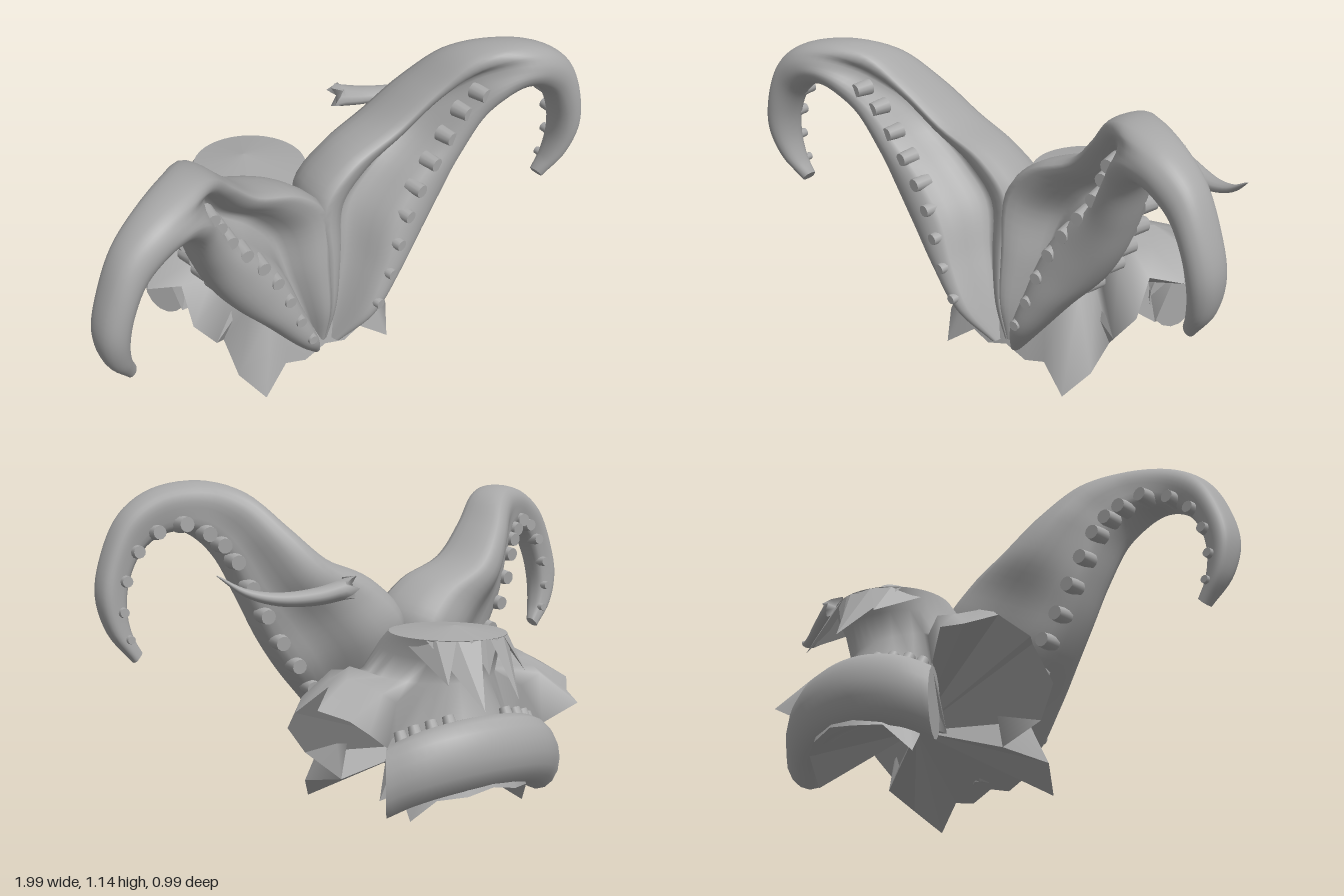
import * as THREE from 'three';

const V = (x, y, z) => new THREE.Vector3(x, y, z);
const skin = new THREE.MeshStandardMaterial({ color: 0xa8a8a8, side: THREE.DoubleSide });
skin.name = 'grey skin';

function part(name, geometry, parent) {
  const mesh = new THREE.Mesh(geometry, skin);
  mesh.name = name;
  parent.add(mesh);
  return mesh;
}

// Skin over a list of closed rings, optionally closing both ends
function loft(rings, capped) {
  const n = rings[0].length, pos = [], idx = [];
  rings.forEach(r => r.forEach(p => pos.push(p.x, p.y, p.z)));
  for (let i = 0; i < rings.length - 1; i++)
    for (let j = 0; j < n; j++) {
      const a = i * n + j, b = i * n + (j + 1) % n;
      idx.push(a, b, a + n, b, b + n, a + n);
    }
  const cap = (ring, flip) => {
    const c = ring.reduce((s, p) => s.add(p), V(0, 0, 0)).divideScalar(n);
    const base = pos.length / 3;
    [c, ...ring].forEach(p => pos.push(p.x, p.y, p.z));
    for (let j = 0; j < n; j++) {
      const a = base + 1 + j, b = base + 1 + (j + 1) % n;
      flip ? idx.push(base, b, a) : idx.push(base, a, b);
    }
  };
  if (capped) {
    cap(rings[0], true);
    cap(rings[rings.length - 1], false);
  }
  const g = new THREE.BufferGeometry();
  g.setAttribute('position', new THREE.Float32BufferAttribute(pos, 3));
  g.setIndex(idx);
  g.computeVertexNormals();
  return g;
}

// Flat-faced fan from a centre to a closed ring
function fan(centre, ring) {
  const g = new THREE.BufferGeometry(), pts = [];
  ring.forEach((p, i) => pts.push(centre, ring[(i + 1) % ring.length], p));
  g.setFromPoints(pts);
  g.computeVertexNormals();
  return g;
}

function sucker(pos, dir, r, sink, parent) {
  const m = part('sucker', new THREE.CylinderGeometry(r * 0.8, r, r * 2, 12), parent);
  m.position.copy(pos).addScaledVector(dir, -sink * r);
  m.quaternion.setFromUnitVectors(V(0, 1, 0), dir);
}

// Arm stations: outer x, y, back z, and inner x, y, front z
const stations = [
  [0.06, 0.10, 0.20, 0, 0.12, 0.28], [0.17, 0.22, 0.12, 0, 0.28, 0.36],
  [0.29, 0.36, 0.06, 0, 0.47, 0.37], [0.40, 0.48, 0.00, 0, 0.68, 0.36],
  [0.48, 0.60, 0.02, 0.11, 0.80, 0.355], [0.545, 0.74, 0.04, 0.29, 0.88, 0.365],
  [0.60, 0.87, 0.10, 0.42, 1.00, 0.40], [0.65, 0.94, 0.18, 0.53, 1.11, 0.45],
  [0.71, 0.975, 0.26, 0.64, 1.145, 0.485], [0.78, 0.96, 0.33, 0.79, 1.12, 0.50],
  [0.84, 0.91, 0.36, 0.90, 1.04, 0.50], [0.885, 0.82, 0.37, 0.965, 0.91, 0.50],
  [0.90, 0.72, 0.37, 0.995, 0.77, 0.49], [0.885, 0.63, 0.37, 0.965, 0.64, 0.46],
  [0.86, 0.575, 0.37, 0.89, 0.54, 0.42]];
const outer = new THREE.CatmullRomCurve3(stations.map(s => V(s[0], s[1], s[2])));
const inner = new THREE.CatmullRomCurve3(stations.map(s => V(s[3], s[4], s[5])));
const LAST = stations.length - 1;

// Cross-sections (across, depth): broad strip and groove at the root, rounded at the curl
const section = pts => new THREE.CatmullRomCurve3(pts.map(p => V(p[0], p[1], 0)), true);
const grooved = section([[0, 0.58], [0.02, 0.85], [0.12, 0.97], [0.27, 1], [0.4, 0.93], [0.49, 0.6], [0.6, 0.44],
  [0.8, 0.65], [1, 0.7], [1, 0.3], [0.85, 0], [0.55, 0.03], [0.28, 0.3], [0.06, 0.44]]);
const rounded = section([[0, 0.45], [0.03, 0.7], [0.14, 0.87], [0.28, 0.96], [0.42, 1], [0.58, 1], [0.72, 0.96],
  [0.86, 0.87], [0.97, 0.7], [1, 0.4], [0.92, 0.12], [0.72, 0], [0.4, 0.02], [0.1, 0.12]]);

function armPoint(station, k) {
  const o = outer.getPoint(station / LAST), i = inner.getPoint(station / LAST);
  const m = THREE.MathUtils.smoothstep(station, 5, 9);
  const c = grooved.getPoint(k / 14).lerp(rounded.getPoint(k / 14), m);
  return V(o.x + (i.x - o.x) * c.x, o.y + (i.y - o.y) * c.x, o.z + (i.z - o.z) * c.y);
}

function arm(name) {
  const g = new THREE.Group();
  g.name = name;
  const rings = [];
  for (let i = 0; i <= 70; i++)
    rings.push(Array.from({ length: 42 }, (_, j) => armPoint(i / 70 * LAST, j / 3)));
  part('tentacle', loft(rings, true), g);
  const front = V(0.1, -0.05, 1).normalize(), back = V(0.15, -0.1, -1).normalize();
  for (let i = 0; i < 9; i++)
    sucker(armPoint(1.3 + i * 0.66, 3 + i * 0.18), front, 0.022 + Math.min(i, 4) * 0.002, 0.5, g);
  for (let i = 0; i < 8; i++)
    sucker(armPoint(2.5 + i * 0.7, 13), back, 0.032, 0, g);
  for (let i = 0; i < 6; i++)
    sucker(armPoint(8.4 + i * 0.95, 12.7 - i * 0.1), V(0, 0, -1), 0.032 - i * 0.003, 0.1, g);
  return g;
}

// Torn edge of the skirt, front to back on the left half
const edgeHalf = [[0, 0.1, 0.26], [0.09, 0.07, 0.26], [0.17, 0.09, 0.25], [0.28, 0.01, 0.28], [0.34, 0.09, 0.2],
  [0.29, 0.12, 0.04], [0.38, 0.21, 0.13], [0.46, 0.31, 0.11], [0.45, 0.43, 0.03], [0.53, 0.4, -0.06],
  [0.45, 0.49, -0.14], [0.53, 0.43, -0.2], [0.46, 0.4, -0.28], [0.44, 0.37, -0.36], [0.33, 0.3, -0.3],
  [0.3, 0.1, -0.21], [0.25, 0.13, -0.26], [0.24, 0.04, -0.3], [0.19, 0.12, -0.38], [0.1, 0.13, -0.43], [0, 0.15, -0.44]]
  .map(p => V(...p));
const mirrorHalf = half => [...half, ...half.slice(1, -1).reverse().map(p => V(-p.x, p.y, p.z))];

// Oval ring of the head; tilt shifts the height from front to rear
function headRing(y, rx, zFront, zBack, tilt) {
  return Array.from({ length: 40 }, (_, i) => {
    const a = i / 40 * Math.PI * 2, c = Math.cos(a);
    return V(rx * Math.sin(a), y + tilt * c, (zFront + zBack) / 2 + (zFront - zBack) / 2 * c);
  });
}

function body() {
  const g = new THREE.Group();
  g.name = 'body';
  const edge = mirrorHalf(edgeHalf);
  const top = headRing(0.64, 0.2, 0.02, -0.39, 0.005);
  const neck = headRing(0.5, 0.23, 0.14, -0.3, 0.02);
  const mid = neck.map((p, i) => p.clone().lerp(edge[i], 0.55).add(V(0, 0.05, 0)));
  part('headAndSkirt', loft([top, headRing(0.58, 0.205, 0.08, -0.34, 0.02), neck, mid, edge], false), g);
  part('headCap', fan(V(0, 0.665, -0.22), top), g);
  part('skirtUnderside', fan(V(0, 0.23, -0.08), edge), g);

  // Ragged flaps hanging from the rear of the cap
  const flaps = [[-0.17, -0.02, -0.07, 0.44, -0.48], [-0.06, 0.06, 0, 0.52, -0.41],
    [0.02, 0.17, 0.08, 0.42, -0.49], [-0.2, -0.1, -0.16, 0.52, -0.4], [0.1, 0.2, 0.16, 0.5, -0.4]];
  for (const [x0, x1, x, y, z] of flaps) {
    const rim = v => V(v, 0.635, -0.185 - 0.205 * Math.sqrt(1 - Math.min(1, (v / 0.2) ** 2)));
    part('tornFlap', fan(V(x, y, z), [rim(x0), rim((x0 + x1) / 2), rim(x1)]), g);
  }

  // Rear lobe: curved oval sweep with cut ends, carrying short rows of suckers
  const path = new THREE.CatmullRomCurve3([V(-0.32, 0.18, -0.28), V(-0.23, 0.23, -0.345), V(-0.09, 0.26, -0.39),
    V(0.09, 0.26, -0.39), V(0.23, 0.23, -0.345), V(0.32, 0.18, -0.28)]);
  const rings = [];
  for (let i = 0; i <= 24; i++) {
    const p = path.getPoint(i / 24), t = path.getTangent(i / 24);
    const side = V(-t.z, 0, t.x).normalize();
    rings.push(Array.from({ length: 16 }, (_, j) => {
      const a = j / 16 * Math.PI * 2;
      return p.clone().addScaledVector(side, 0.085 * Math.cos(a)).add(V(0, 0.12 * Math.sin(a), 0));
    }));
  }
  part('rearLobe', loft(rings, true), g);
  for (const t of [0.12, 0.2, 0.28, 0.36, 0.64, 0.72, 0.8, 0.88])
    sucker(path.getPoint(t).add(V(0, 0.11, 0.03)), V(0, 0.9, 0.44).normalize(), 0.024, 0, g);
  return g;
}

// Loose tentacle tip: tapered sweep with a jagged root
function looseTip() {
  const path = new THREE.CatmullRomCurve3([V(0.37, 0.81, -0.15), V(0.48, 0.785, -0.125), V(0.6, 0.78, -0.085),
    V(0.7, 0.805, -0.05), V(0.78, 0.86, -0.015)]);
  const rings = [];
  for (let i = 0; i <= 20; i++) {
    const t = i / 20, p = path.getPoint(t), r = 0.05 * (1 - t) ** 0.75 + 0.002;
    rings.push(Array.from({ length: 12 }, (_, j) => {
      const a = j / 12 * Math.PI * 2, jag = i ? 0 : (j % 3 - 1) * 0.025;
      return V(p.x - 0.4 * r * Math.cos(a) + jag, p.y + 0.7 * r * Math.sin(a), p.z + r * Math.cos(a));
    }));
  }
  return loft(rings, true);
}

export function createModel() {
  const model = new THREE.Group();
  model.name = 'tentacledBody';
  const right = arm('rightArm');
  right.scale.set(-1, 0.965, 1);
  model.add(arm('leftArm'), right, body());
  part('looseTip', looseTip(), model);
  return model;
}
